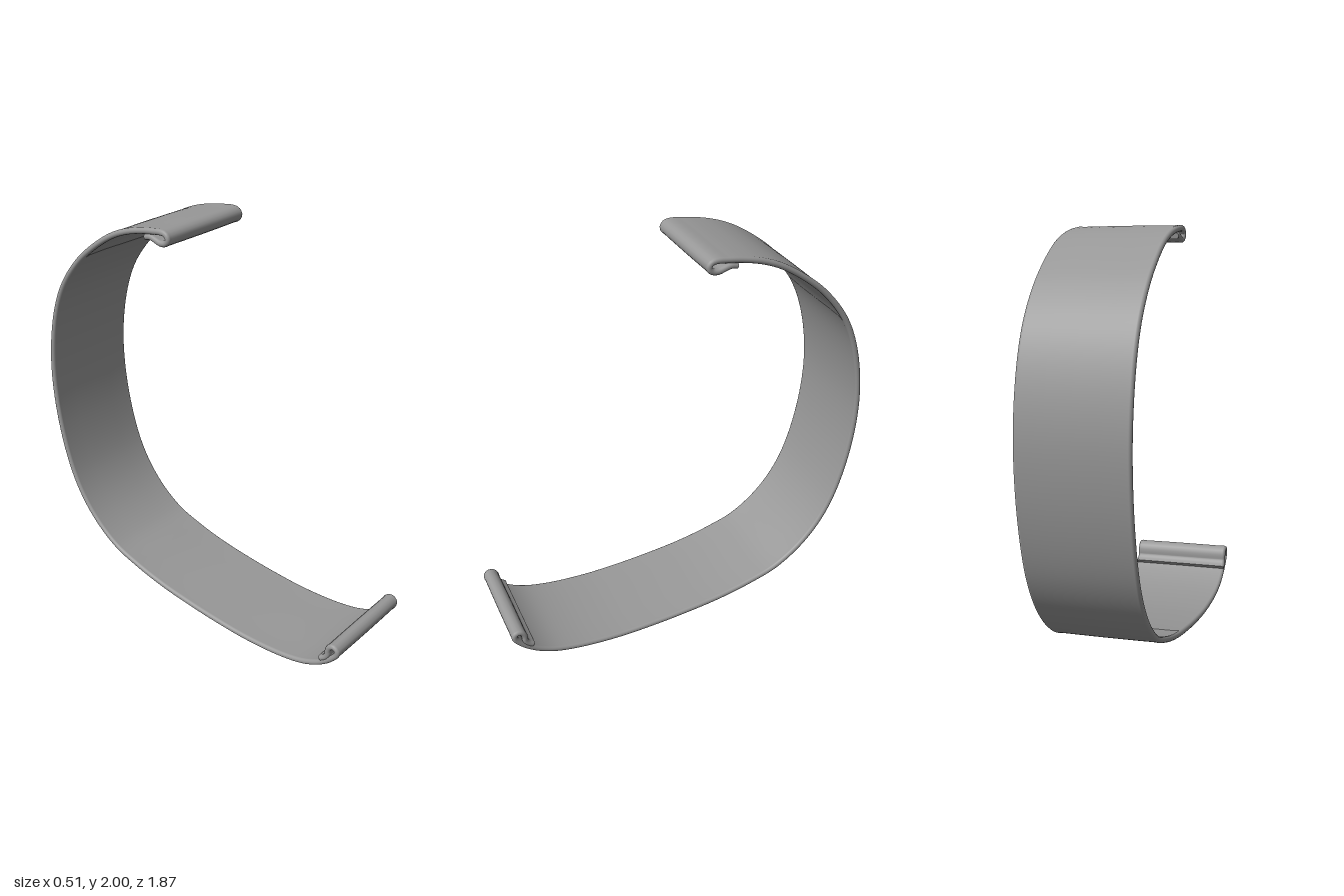
import * as THREE from 'three';

const HALF_WIDTH = 0.257;
const RIM = 0.0145; // radius of the rounded long edges

// Centreline as [z, y]: upper hem, round the back, along the base, front hem
const PATH = [
  [-0.217, 1.946], [-0.187, 1.951], [-0.157, 1.943], [-0.127, 1.934], [-0.097, 1.939],
  [-0.082, 1.959], [-0.093, 1.979], [-0.12, 1.985], [-0.17, 1.98], [-0.23, 1.971],
  [-0.33, 1.947], [-0.43, 1.907], [-0.55, 1.832], [-0.68, 1.722], [-0.8, 1.565],
  [-0.876, 1.37], [-0.916, 1.09], [-0.887, 0.76], [-0.8, 0.474], [-0.68, 0.295],
  [-0.52, 0.168], [-0.36, 0.11], [-0.18, 0.068], [0, 0.043], [0.19, 0.026],
  [0.39, 0.019], [0.59, 0.032], [0.72, 0.058], [0.8, 0.092], [0.86, 0.133],
  [0.9, 0.173], [0.919, 0.203], [0.916, 0.225], [0.898, 0.233], [0.878, 0.222],
  [0.868, 0.197], [0.868, 0.174], [0.855, 0.152], [0.832, 0.135],
];

// Cross-section of the band: slightly crowned faces between rounded rims
function bandSection() {
  const pts = [];
  const steps = 8;
  for (const side of [1, -1]) {
    for (let i = 0; i <= steps; i++) {
      const a = -Math.PI / 2 + (Math.PI * i) / steps;
      pts.push([
        side * (HALF_WIDTH - RIM + RIM * Math.cos(a)),
        side * RIM * Math.sin(a),
      ]);
    }
    for (const [x, h] of [[0.226, 0.0128], [0.12, 0.0136], [0, 0.014], [-0.12, 0.0136], [-0.226, 0.0128]]) {
      pts.push([side * x, side * h]);
    }
  }
  return pts;
}

// Sweep a section along a curve lying in the yz plane, closing both ends
function sweep(curve, section, segments) {
  const pos = [];
  const index = [];
  const n = section.length;
  const xAxis = new THREE.Vector3(1, 0, 0);
  const ring = (u) => {
    const p = curve.getPointAt(u);
    const normal = curve.getTangentAt(u).cross(xAxis).normalize();
    for (const [x, h] of section) pos.push(x, p.y + normal.y * h, p.z + normal.z * h);
  };
  for (let i = 0; i <= segments; i++) ring(i / segments);
  for (let i = 0; i < segments; i++) {
    for (let j = 0; j < n; j++) {
      const k = (j + 1) % n;
      const a = i * n + j, b = i * n + k;
      index.push(a, b, b + n, a, b + n, a + n);
    }
  }
  // end caps on their own vertices so their edges stay sharp
  for (const u of [0, 1]) {
    const start = pos.length / 3;
    ring(u);
    for (let j = 1; j < n - 1; j++) {
      if (u) index.push(start, start + j, start + j + 1);
      else index.push(start, start + j + 1, start + j);
    }
  }
  const geo = new THREE.BufferGeometry();
  geo.setAttribute('position', new THREE.Float32BufferAttribute(pos, 3));
  geo.setIndex(index);
  geo.computeVertexNormals();
  return geo;
}

export function createModel() {
  const group = new THREE.Group();
  group.name = 'curvedStrap';
  const curve = new THREE.CatmullRomCurve3(
    PATH.map(([z, y]) => new THREE.Vector3(0, y, z)), false, 'centripetal');
  curve.arcLengthDivisions = 1500;

  // One continuous band with a rolled hem at each end
  const band = new THREE.Mesh(
    sweep(curve, bandSection(), 420),
    new THREE.MeshStandardMaterial({ color: 0x989898 }));
  band.name = 'bandWithRolledEnds';
  group.add(band);
  return group;
}
